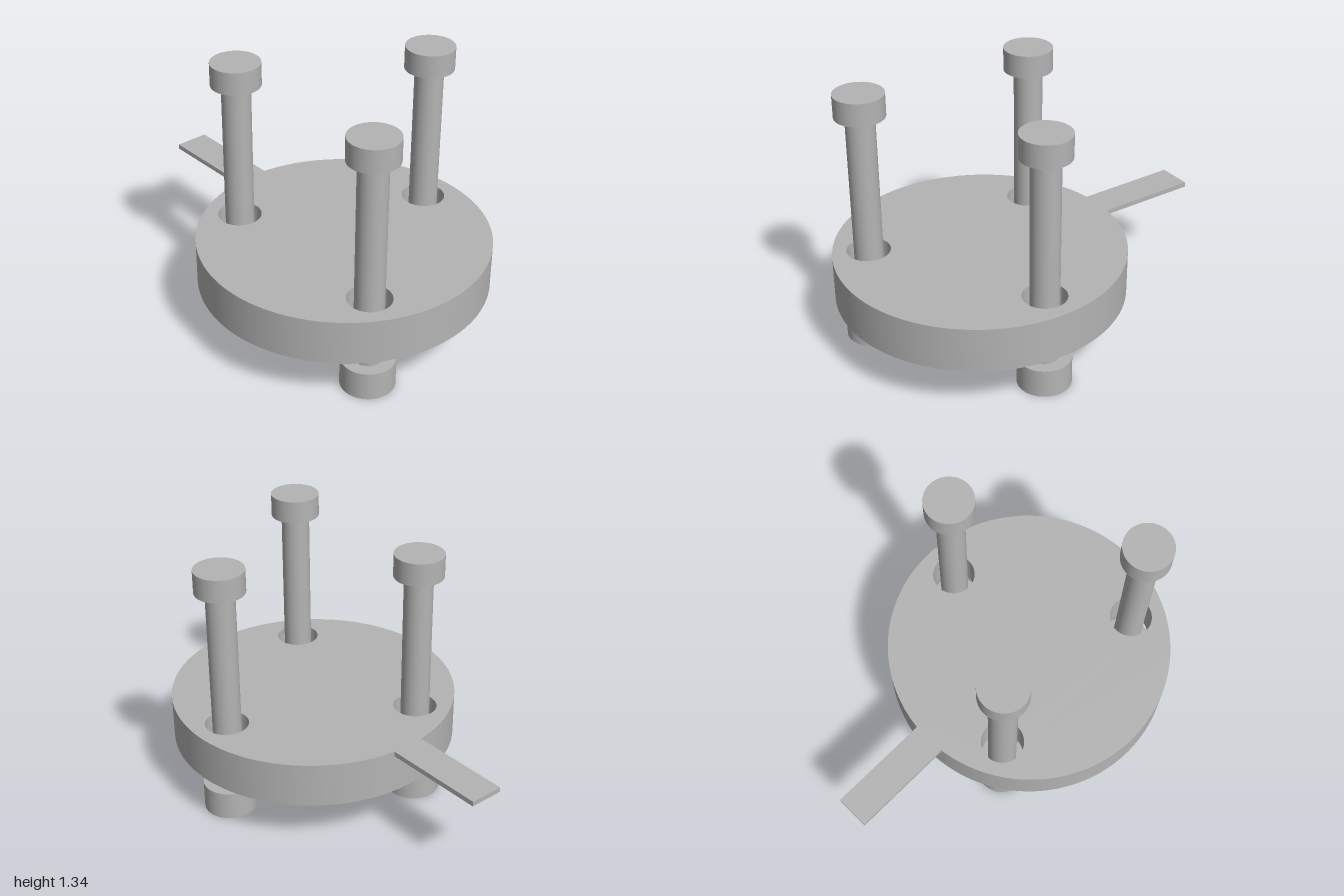
import * as THREE from 'three';
import { toCreasedNormals } from 'three/addons/utils/BufferGeometryUtils.js';

const CENTER_X = 0.265;
const PLATE_RADIUS = 0.735;
const POST_CIRCLE = 0.555;

export function createModel() {
  const model = new THREE.Group();
  model.name = 'plateOnPosts';
  const grey = new THREE.MeshStandardMaterial({ color: 0xb4b4b4 });
  grey.name = 'grey';

  const add = (parent, name, geometry, x, y, z) => {
    const mesh = new THREE.Mesh(geometry, grey);
    mesh.name = name;
    mesh.position.set(x, y, z);
    parent.add(mesh);
  };
  // upright cylinder spanning y0 to y1
  const drum = (parent, name, radius, y0, y1, segments = 48) =>
    add(parent, name, new THREE.CylinderGeometry(radius, radius, y1 - y0, segments), 0, (y0 + y1) / 2, 0);

  // one post at the back, two at the front
  const spots = [90, 210, 330].map((deg) => {
    const a = THREE.MathUtils.degToRad(deg);
    return [POST_CIRCLE * Math.cos(a), POST_CIRCLE * Math.sin(a)];
  });

  const body = new THREE.Group();
  body.name = 'body';
  body.position.x = CENTER_X;
  model.add(body);

  // round plate with a clearance hole for each post
  const outline = new THREE.Shape().absarc(0, 0, PLATE_RADIUS, 0, Math.PI * 2);
  for (const [x, y] of spots) {
    outline.holes.push(new THREE.Path().absarc(x, y, 0.11, 0, Math.PI * 2, true));
  }
  const plate = new THREE.ExtrudeGeometry(outline, { depth: 0.233, bevelEnabled: false, curveSegments: 80 });
  plate.rotateX(-Math.PI / 2);
  add(body, 'plate', toCreasedNormals(plate, 0.6), 0, 0.257, 0);

  // hub under the plate
  drum(body, 'hub', 0.287, 0.14, 0.257, 64);

  // posts with foot and cap
  for (const [x, y] of spots) {
    const post = new THREE.Group();
    post.name = 'post';
    post.position.set(x, 0, -y);
    drum(post, 'foot', 0.135, 0, 0.148);
    drum(post, 'shaft', 0.073, 0.148, 1.225);
    drum(post, 'cap', 0.125, 1.225, 1.343);
    body.add(post);
  }

  // thin tab flush with the top of the plate
  add(model, 'tab', new THREE.BoxGeometry(0.536, 0.026, 0.176), -0.732, 0.477, 0);

  return model;
}
